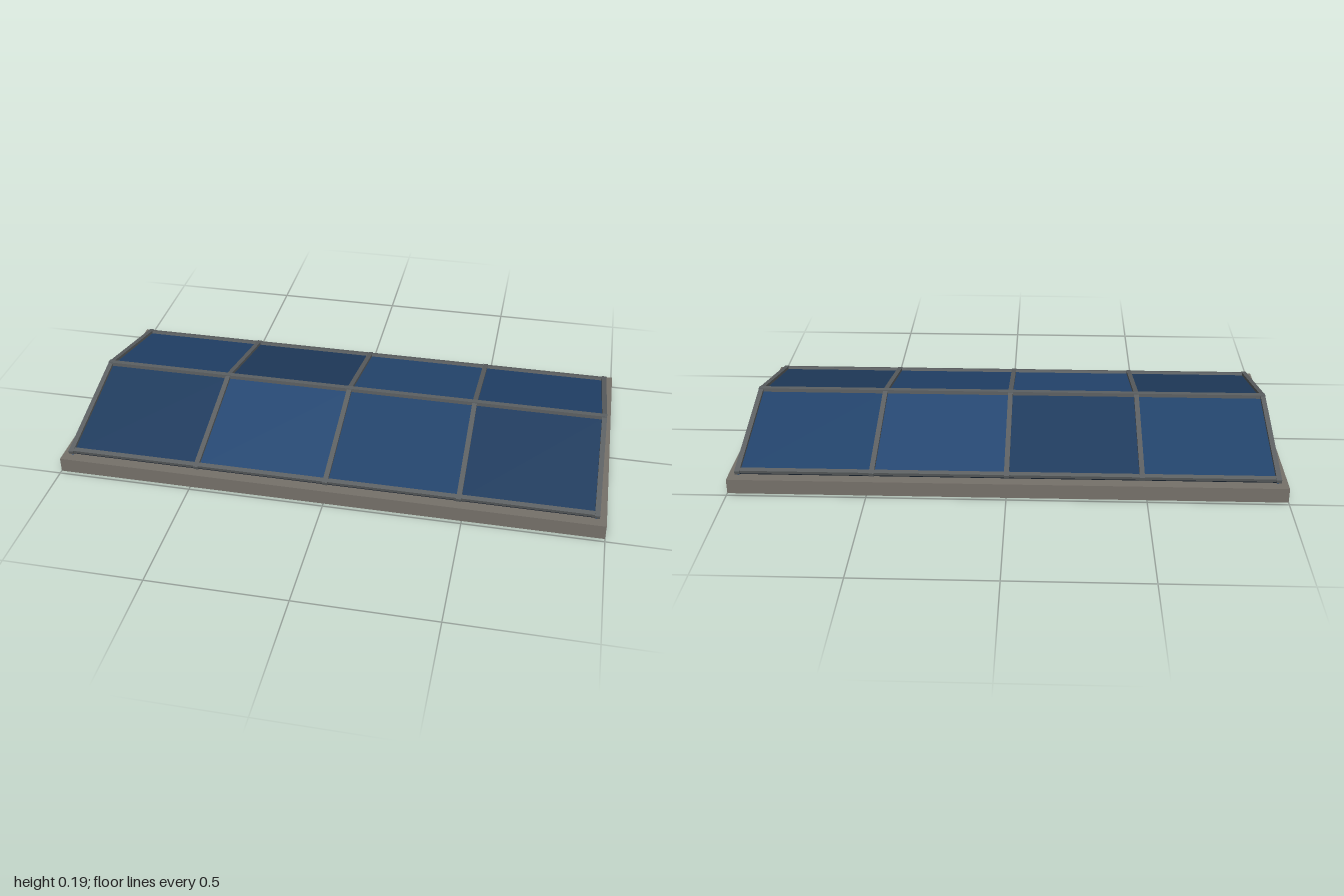
import * as THREE from 'three';

const EAVE_Z = 0.452, EAVE_Y = 0.069, RIDGE_Y = 0.182;
const slopeAngle = Math.atan2(RIDGE_Y - EAVE_Y, EAVE_Z);
const slopeLength = Math.hypot(RIDGE_Y - EAVE_Y, EAVE_Z);

const paint = (color) => new THREE.MeshStandardMaterial({ color });
const curbPaint = paint(0x76716a);
const barPaint = paint(0x5c6062);
const gablePaint = paint(0x24456f);
const edgePaint = paint(0x1a2430);
const tints = [0x22436b, 0x203c5e, 0x264872, 0x22436b];

function addBox(parent, name, size, pos, material) {
  const mesh = new THREE.Mesh(new THREE.BoxGeometry(...size), material);
  mesh.name = name;
  mesh.position.set(...pos);
  parent.add(mesh);
  return mesh;
}

// One pitched side; local +z runs down the slope from the ridge
function makeSlope(name, colors) {
  const slope = new THREE.Group();
  slope.name = name;
  const pitch = new THREE.Group();
  pitch.position.y = RIDGE_Y;
  pitch.rotation.x = slopeAngle;
  slope.add(pitch);

  // Four glass panes, dark round their edges
  colors.forEach((color, i) => {
    const glass = paint(color);
    addBox(pitch, 'glassPane', [0.482, 0.007, slopeLength - 0.004],
      [-0.723 + i * 0.482, -0.008, slopeLength / 2],
      [edgePaint, edgePaint, glass, glass, edgePaint, edgePaint]);
  });

  // Rafters between the panes and the rail along the eave
  for (let i = 0; i < 5; i++) {
    addBox(pitch, 'rafter', [0.018, 0.014, slopeLength + 0.005],
      [-0.966 + i * 0.483, 0, slopeLength / 2 + 0.0025], barPaint);
  }
  addBox(pitch, 'eaveRail', [1.932, 0.012, 0.018], [0, 0, slopeLength - 0.009], barPaint);
  return slope;
}

export function createModel() {
  const model = new THREE.Group();
  model.name = 'ridgeSkylight';

  // Solid curb
  addBox(model, 'curb', [2, 0.055, 0.97], [0, 0.0275, 0], curbPaint);

  // Two mirrored slopes
  model.add(makeSlope('frontSlope', [0x203c5e, 0x264872, 0x22436b, 0x203c5e]));
  const back = makeSlope('backSlope', [...tints].reverse());
  back.rotation.y = Math.PI;
  model.add(back);

  // Ridge cap
  addBox(model, 'ridgeCap', [1.95, 0.014, 0.02], [0, RIDGE_Y + 0.001, 0], barPaint);

  // Triangular glass gables
  const triangle = new THREE.Shape([
    new THREE.Vector2(-0.45, 0.055),
    new THREE.Vector2(0.45, 0.055),
    new THREE.Vector2(0, RIDGE_Y - 0.011),
  ]);
  const gableGeometry = new THREE.ExtrudeGeometry(triangle, { depth: 0.006, bevelEnabled: false });
  gableGeometry.translate(0, 0, 0.96);
  for (const side of [1, -1]) {
    const gable = new THREE.Mesh(gableGeometry, gablePaint);
    gable.name = side > 0 ? 'leftGable' : 'rightGable';
    gable.rotation.y = side * Math.PI / 2;
    model.add(gable);
  }
  return model;
}
